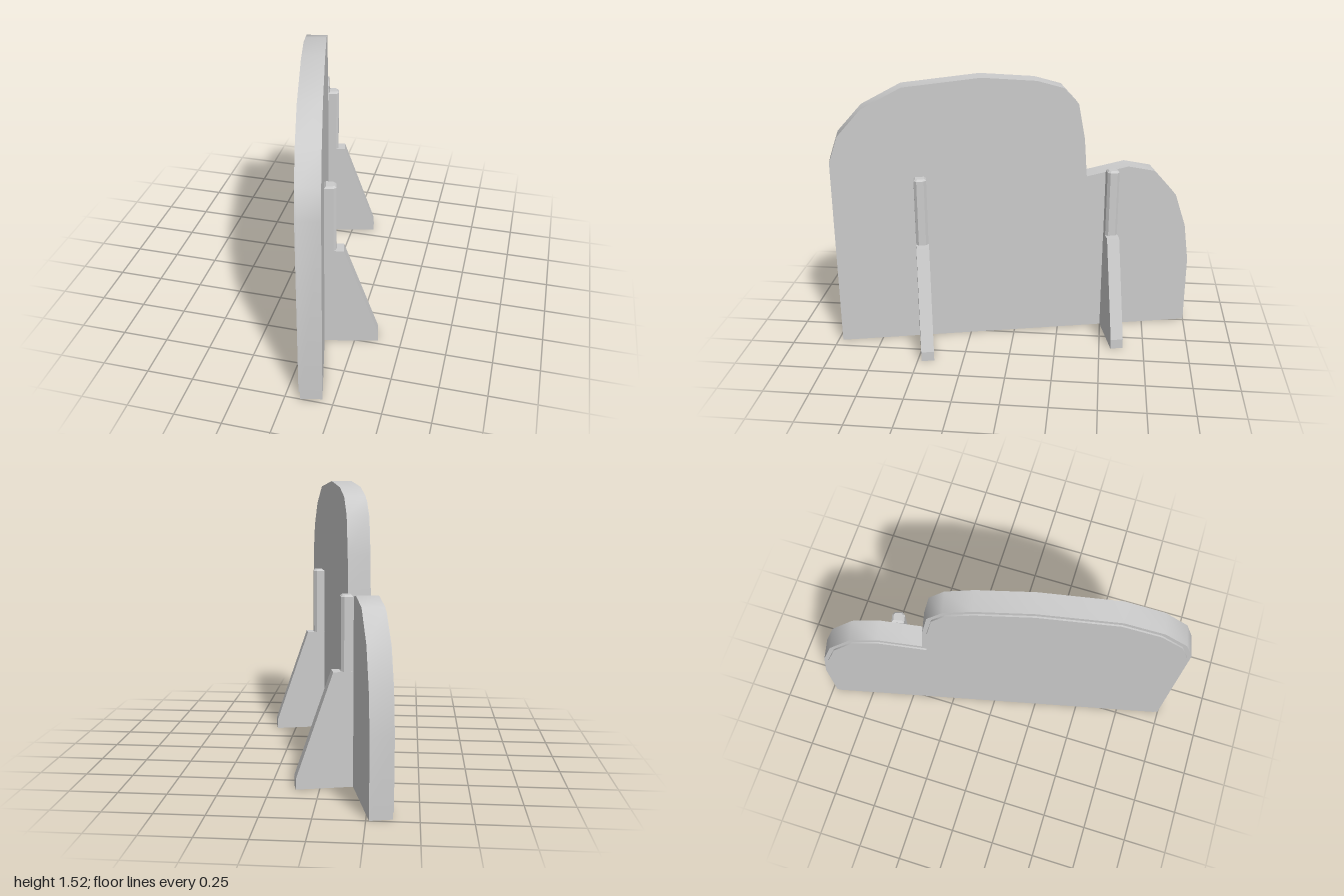
import * as THREE from 'three';
import { toCreasedNormals } from 'three/addons/utils/BufferGeometryUtils.js';

const THICK = 0.113; // board thickness
const BACK = -THICK / 2; // rear face of the board

// Half-cloud outline, from the lower right corner round to the lower left
const OUTLINE = [
  [1.013, 0], [1.013, 1.08], [0.963, 1.225], [0.83, 1.37], [0.614, 1.48], [0.19, 1.52],
  [-0.108, 1.494], [-0.256, 1.45], [-0.339, 1.358], [-0.377, 1.16], [-0.394, 0.942],
  [-0.63, 0.99], [-0.784, 0.957], [-0.916, 0.807], [-0.982, 0.615], [-1.013, 0.396], [-1.013, 0],
];

// Move every edge of a counter-clockwise outline inward and join the corners
function insetOutline(points, d) {
  const n = points.length;
  return points.map((p, i) => {
    const [a, c] = [points[(i + n - 1) % n], points[(i + 1) % n]];
    const e1 = new THREE.Vector2(p[0] - a[0], p[1] - a[1]).normalize();
    const e2 = new THREE.Vector2(c[0] - p[0], c[1] - p[1]).normalize();
    const n1 = new THREE.Vector2(-e1.y, e1.x);
    const n2 = new THREE.Vector2(-e2.y, e2.x);
    const k = d / (1 + n1.dot(n2));
    return [p[0] + (n1.x + n2.x) * k, p[1] + (n1.y + n2.y) * k];
  });
}

function extrude(points, depth, bevel = 0) {
  const shape = new THREE.Shape(points.map(([x, y]) => new THREE.Vector2(x, y)));
  return new THREE.ExtrudeGeometry(shape, {
    depth: depth - 2 * bevel, bevelEnabled: bevel > 0, bevelSize: bevel,
    bevelThickness: bevel, bevelOffset: -bevel, bevelSegments: 1,
  });
}

export function createModel() {
  const model = new THREE.Group();
  model.name = 'standingBoard';
  const grey = new THREE.MeshStandardMaterial({ color: 0xcccccc });
  grey.name = 'lightGrey';

  // The whole stand is turned so that the board's face looks towards -x
  const stand = new THREE.Group();
  stand.name = 'stand';
  stand.rotation.y = THREE.MathUtils.degToRad(-77);
  stand.position.x = -0.0925;
  model.add(stand);

  const add = (name, geometry, parent = stand) => {
    const mesh = new THREE.Mesh(geometry, grey);
    mesh.name = name;
    parent.add(mesh);
    return mesh;
  };

  // Thick board with a softly shaded rim
  const board = add('board', toCreasedNormals(extrude(OUTLINE, THICK), 0.65));
  board.position.z = BACK;

  // Thin facing panel, slightly smaller than the board
  const facing = add('facingPanel', toCreasedNormals(extrude(insetOutline(OUTLINE, 0.024), 0.009), 0.65));
  facing.position.z = -BACK;

  // Two rear supports: an upright post and a sloping brace
  for (const side of [-1, 1]) {
    const support = new THREE.Group();
    support.name = side > 0 ? 'frontSupport' : 'rearSupport';
    support.position.set(side * 0.535, 0, BACK);
    stand.add(support);

    // Post plan: flat against the board, chamfered on the outside
    const plan = [[-0.034, 0], [0.034, 0], [0.034, 0.047], [0.02, 0.062], [-0.02, 0.062], [-0.034, 0.047]];
    const post = extrude(plan, 0.985, 0.01);
    post.translate(0, 0, 0.01);
    post.rotateX(-Math.PI / 2);
    add('post', post, support);

    // Brace profile: outward distance and height
    const profile = [[0, 0], [0.292, 0], [0.292, 0.055], [0.102, 0.6], [0, 0.6]];
    const brace = extrude(profile, 0.07);
    brace.translate(0, 0, -0.035);
    brace.rotateY(Math.PI / 2);
    add('brace', brace, support);
  }
  return model;
}
